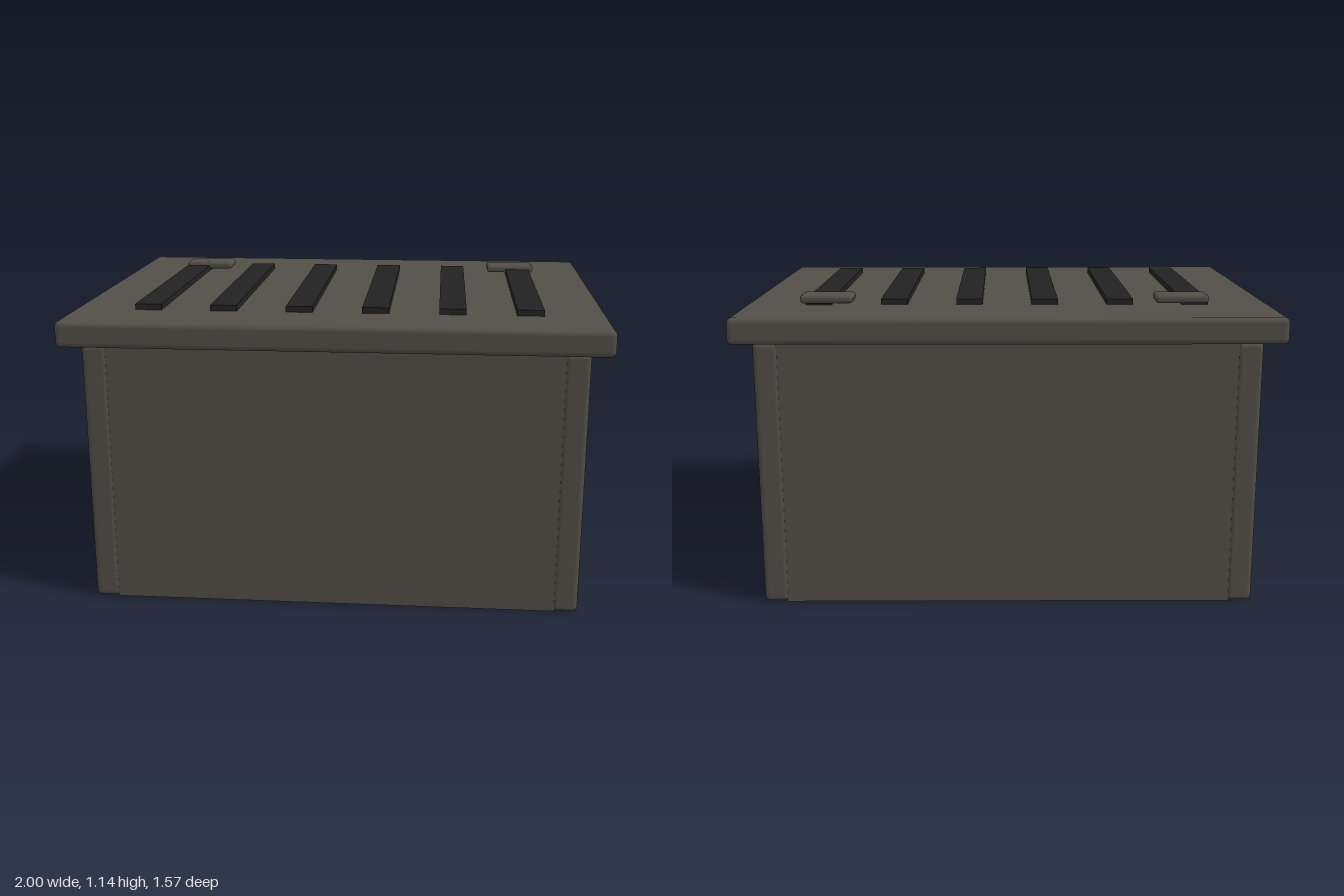
import * as THREE from 'three';
import { RoundedBoxGeometry } from 'three/addons/geometries/RoundedBoxGeometry.js';

export function createModel() {
  const model = new THREE.Group();
  const casing = new THREE.MeshStandardMaterial({ color: 0x524e48 });
  casing.name = 'warm grey casing';
  const dark = new THREE.MeshStandardMaterial({ color: 0x222222 });
  dark.name = 'dark slat';

  // Box given by its min and max corners, with optional rounded edges
  function box(name, material, min, max, radius = 0) {
    const size = max.map((v, i) => v - min[i]);
    const geometry = radius
      ? new RoundedBoxGeometry(...size, 3, radius)
      : new THREE.BoxGeometry(...size);
    const mesh = new THREE.Mesh(geometry, material);
    mesh.name = name;
    mesh.position.set(...max.map((v, i) => (v + min[i]) / 2));
    model.add(mesh);
  }

  // Main box and overhanging lid
  box('body', casing, [-0.84, 0, -0.71], [0.84, 1.01, 0.71]);
  box('lid', casing, [-1, 1.003, -0.783], [1, 1.1, 0.783], 0.02);

  // Side panels
  box('rightPanel', casing, [-0.926, 0, -0.714], [-0.83, 1, 0.714], 0.02);
  box('leftPanel', casing, [0.83, 0, -0.714], [0.926, 1, 0.714], 0.02);

  // Row of dark slats on the lid
  for (let i = 0; i < 6; i++) {
    const x = -0.711 + i * 0.2855;
    box('slat' + (i + 1), dark, [x - 0.05, 1.09, -0.46], [x + 0.05, 1.122, 0.54]);
  }

  // Hinge tabs at the rear
  for (const [name, x] of [['rightTab', -0.66], ['leftTab', 0.685]]) {
    box(name, casing, [x - 0.1, 1.108, -0.488], [x + 0.1, 1.14, -0.375], 0.013);
  }

  return model;
}
